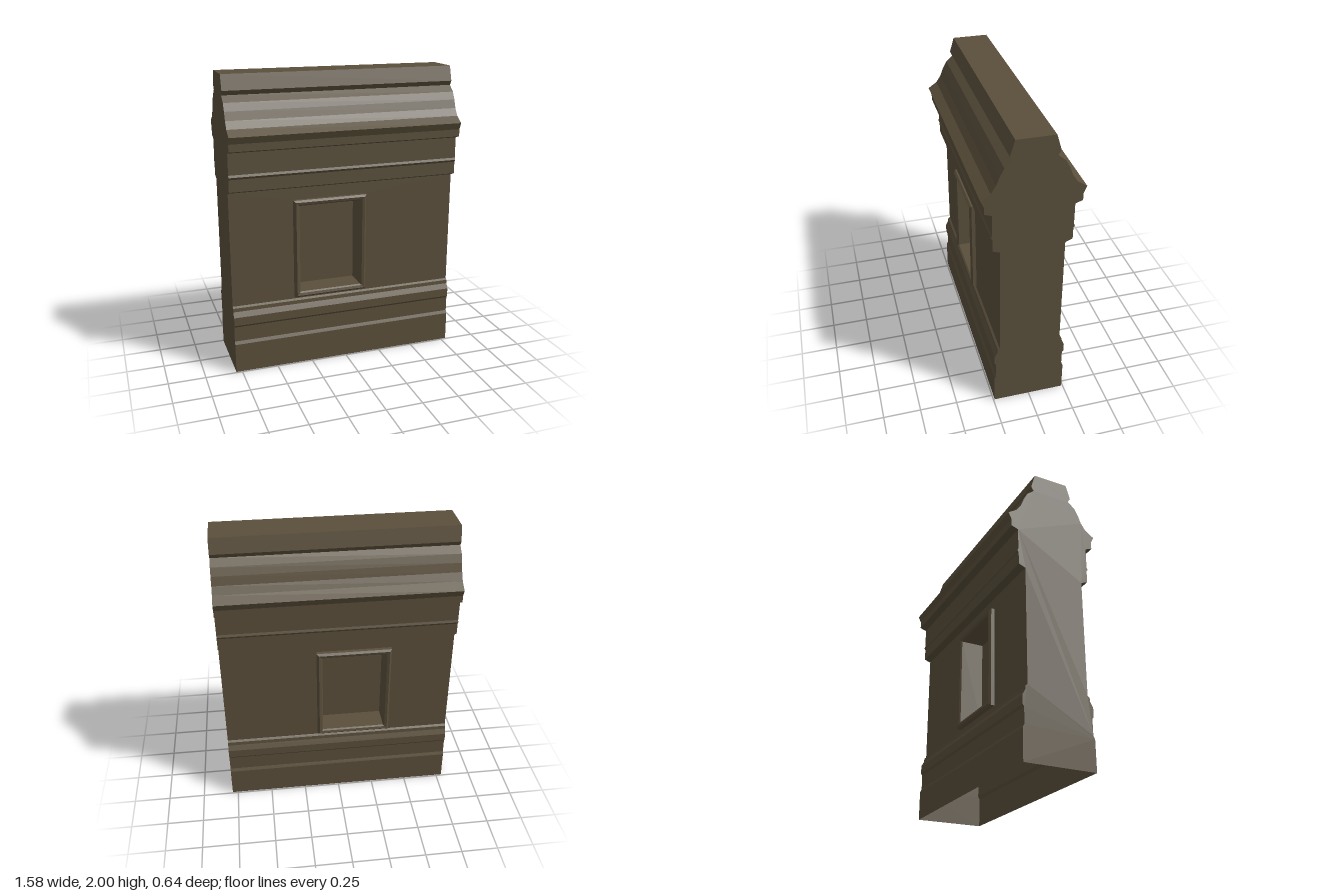
import * as THREE from 'three';

const X = 0.79;          // half length of the wall
const PANEL_Z = 0.205;   // plane of the flat panel
// Moulding profile of one side, [z, y] from top to bottom
const upper = [
  [0.12, 2], [0.15, 1.9], [0.132, 1.87], [0.18, 1.83], [0.207, 1.78], [0.228, 1.725],
  [0.26, 1.677], [0.32, 1.637], [0.3, 1.592], [0.3, 1.543], [0.253, 1.527],
  [0.253, 1.385], [0.26, 1.37], [0.251, 1.355], [0.251, 1.273], [PANEL_Z, 1.255],
];
const lower = [
  [PANEL_Z, 0.47], [0.219, 0.46], [0.221, 0.435], [0.24, 0.4], [0.24, 0.342],
  [0.23, 0.328], [0.23, 0.224], [0.241, 0.203], [0.241, 0],
];
// Niche frame section, [inset from outer edge, z]
const frameSection = [
  [0, PANEL_Z], [0, 0.23], [0.013, 0.243], [0.03, 0.238], [0.038, 0.228], [0.038, 0.07],
];
const CX = -0.107, CY = 0.831, HW = 0.254, HH = 0.343;

// Flat-faced geometry from counter-clockwise quads
function quads(list) {
  const p = [];
  for (const [a, b, c, d] of list) p.push(...a, ...b, ...c, ...a, ...c, ...d);
  const g = new THREE.BufferGeometry();
  g.setAttribute('position', new THREE.Float32BufferAttribute(p, 3));
  g.computeVertexNormals();
  return g;
}

// Sweep a profile along the length of the wall
function moulding(profile) {
  return quads(profile.slice(1).map(([z1, y1], i) => {
    const [z0, y0] = profile[i];
    return [[-X, y0, z0], [-X, y1, z1], [X, y1, z1], [X, y0, z0]];
  }));
}

// Corners of a rectangle inset from the frame's outer edge
function ring(cx, [inset, z]) {
  const w = HW - inset, h = HH - inset;
  return [[-w, -h], [w, -h], [w, h], [-w, h]].map(([x, y]) => [cx + x, CY + y, z]);
}

export function createModel() {
  const stone = new THREE.MeshStandardMaterial({ color: 0x5a4f3b, side: THREE.DoubleSide });
  stone.name = 'brown stone';
  const model = new THREE.Group();
  model.name = 'wallSection';
  const add = (parent, name, geometry) => {
    const mesh = new THREE.Mesh(geometry, stone);
    mesh.name = name;
    parent.add(mesh);
    return mesh;
  };

  // One face of the wall, with its cornice, base, panel and framed niche
  function wallSide(name, cx) {
    const side = new THREE.Group();
    side.name = name;
    add(side, 'cornice', moulding(upper));
    add(side, 'base', moulding(lower));

    const toV2 = ([x, y]) => new THREE.Vector2(x, y);
    const top = upper.at(-1)[1], bottom = lower[0][1];
    const panel = new THREE.Shape([[-X, bottom], [X, bottom], [X, top], [-X, top]].map(toV2));
    panel.holes.push(new THREE.Path(ring(cx, frameSection[0]).reverse().map(toV2)));
    add(side, 'panel', new THREE.ShapeGeometry(panel).translate(0, 0, PANEL_Z));

    const faces = [];
    for (let i = 1; i < frameSection.length; i++) {
      const a = ring(cx, frameSection[i - 1]), b = ring(cx, frameSection[i]);
      for (let k = 0; k < 4; k++) {
        const n = (k + 1) % 4;
        faces.push([a[k], a[n], b[n], b[k]]);
      }
    }
    add(side, 'nicheFrame', quads(faces));
    add(side, 'nicheBack', quads([ring(cx, frameSection.at(-1))]));
    model.add(side);
    return side;
  }
  wallSide('frontSide', CX);
  wallSide('backSide', -CX).rotation.y = Math.PI;

  // Top strip and profiled ends; the underside is open
  const [tz, ty] = upper[0];
  add(model, 'top', quads([[[-X, ty, tz], [X, ty, tz], [X, ty, -tz], [-X, ty, -tz]]]));
  const half = [...upper, ...lower];
  const outline = new THREE.Shape([
    ...half.map(([z, y]) => new THREE.Vector2(z, y)),
    ...half.slice().reverse().map(([z, y]) => new THREE.Vector2(-z, y)),
  ]);
  for (const s of [1, -1]) {
    const end = new THREE.ShapeGeometry(outline).rotateY(s * Math.PI / 2).translate(s * X, 0, 0);
    add(model, s > 0 ? 'leftEnd' : 'rightEnd', end);
  }
  return model;
}
